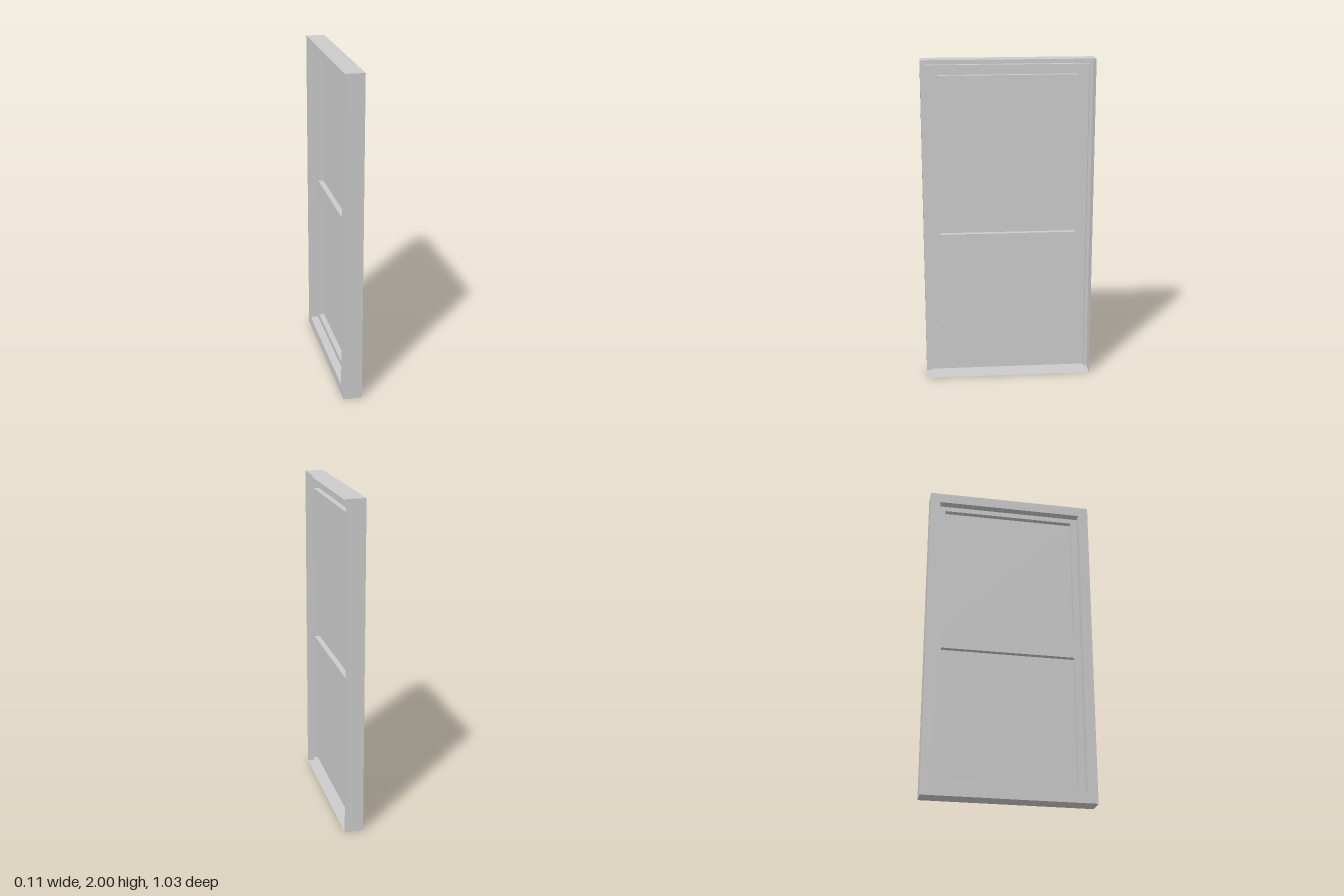
import * as THREE from 'three';

// Depths along x: the finished face looks toward -x, the shell is open toward +x
const BACK = 0.057, FACE = -0.057, SASH = -0.007, PANE = 0.026;
const OPENINGS = { lower: [0.1, 0.935], upper: [1.07, 1.905] };
const OPENING_HALF = 0.415;

const material = new THREE.MeshStandardMaterial({ color: 0xcccccc, side: THREE.DoubleSide, flatShading: true });

function addMesh(parent, name, geometry) {
  const mesh = new THREE.Mesh(geometry, material);
  mesh.name = name;
  parent.add(mesh);
}

// Skin between successive rectangles, each given as [x, half width, bottom, top]
function rectLoft(rects) {
  const corners = rects.map(([x, h, y0, y1]) => [[x, y0, h], [x, y1, h], [x, y1, -h], [x, y0, -h]]);
  const positions = [];
  for (let i = 0; i < corners.length - 1; i++) {
    for (let k = 0; k < 4; k++) {
      const n = (k + 1) % 4;
      const a = corners[i][k], b = corners[i][n], c = corners[i + 1][n], d = corners[i + 1][k];
      positions.push(...a, ...b, ...c, ...a, ...c, ...d);
    }
  }
  const geometry = new THREE.BufferGeometry();
  geometry.setAttribute('position', new THREE.Float32BufferAttribute(positions, 3));
  geometry.computeVertexNormals();
  return geometry;
}

function rectPoints(h, y0, y1) {
  return [[-h, y0], [h, y0], [h, y1], [-h, y1]].map(([z, y]) => new THREE.Vector2(z, y));
}

// Flat panel facing -x, with optional rectangular holes
function panel(x, h, y0, y1, holes = []) {
  const shape = new THREE.Shape(rectPoints(h, y0, y1));
  for (const [b, t] of holes) shape.holes.push(new THREE.Path(rectPoints(OPENING_HALF, b, t)));
  return new THREE.ShapeGeometry(shape).rotateY(-Math.PI / 2).translate(x, 0, 0);
}

export function createModel() {
  const model = new THREE.Group();
  model.name = 'window';

  // Outer frame: side walls, front face and the return that meets the sash
  addMesh(model, 'outerFrame', rectLoft([
    [BACK, 0.517, 0, 2],
    [FACE, 0.517, 0, 2],
    [FACE, 0.455, 0.063, 1.937],
    [SASH, 0.455, 0.063, 1.937],
  ]));

  // Sash: edge walls and a face with two openings
  const sash = new THREE.Group();
  sash.name = 'sash';
  model.add(sash);
  addMesh(sash, 'sashEdge', rectLoft([[PANE, 0.485, 0.033, 1.967], [SASH, 0.485, 0.033, 1.967]]));
  addMesh(sash, 'sashFace', panel(SASH, 0.485, 0.033, 1.967, Object.values(OPENINGS)));

  // Recess and glass for each opening
  for (const [name, [b, t]] of Object.entries(OPENINGS)) {
    addMesh(sash, name + 'Reveal', rectLoft([[SASH, OPENING_HALF, b, t], [PANE, OPENING_HALF, b, t]]));
    addMesh(sash, name + 'Pane', panel(PANE, OPENING_HALF, b, t));
  }
  return model;
}
